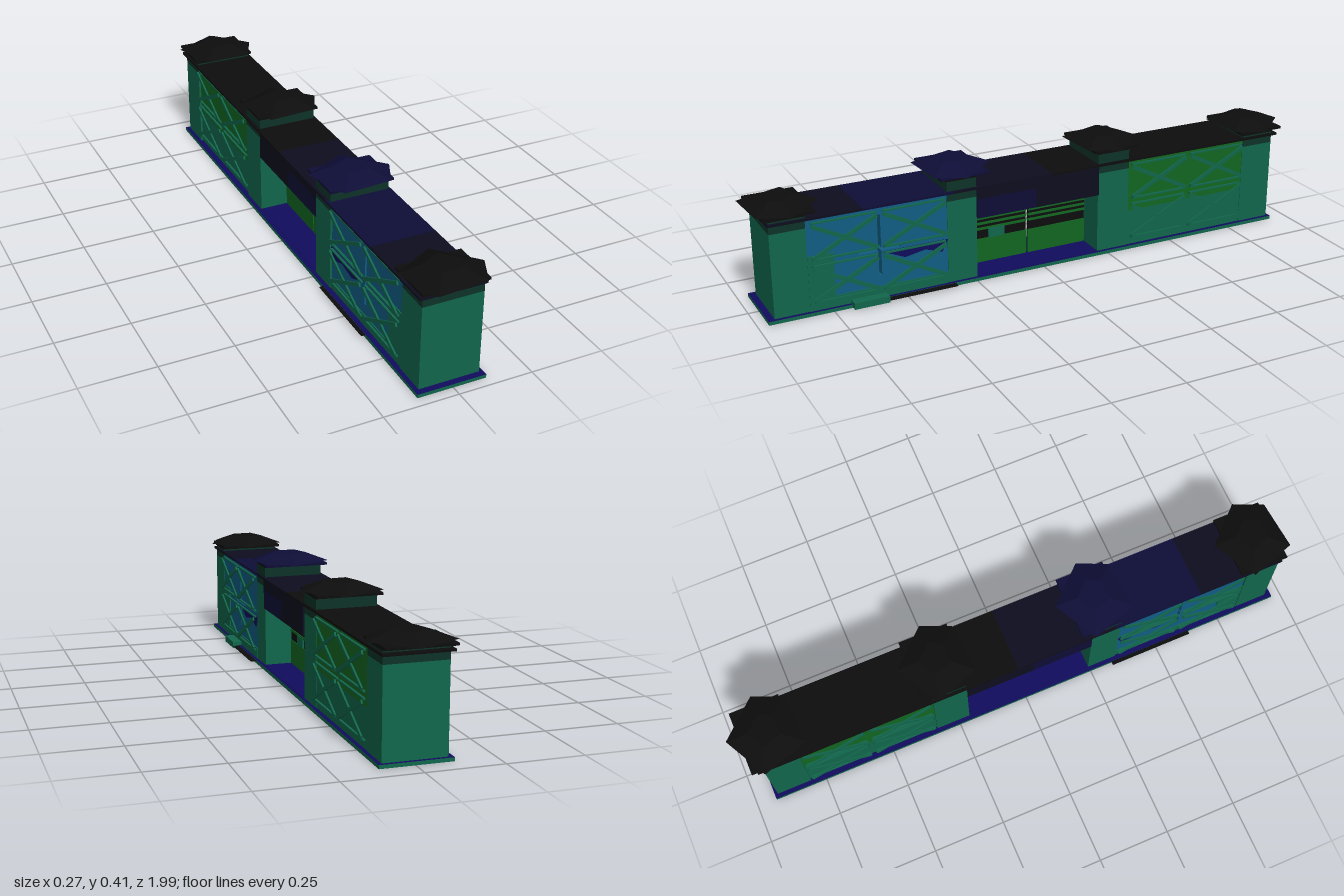
import * as THREE from 'three';

const mat = (name, color) => {
  const m = new THREE.MeshStandardMaterial({ color, side: THREE.DoubleSide, flatShading: true });
  m.name = name;
  return m;
};

export function createModel() {
  const teal = mat('teal wall', 0x11664b);
  const band = mat('dark green band', 0x0d3328);
  const green = mat('green panel', 0x126622);
  const blue = mat('blue glass', 0x105c82);
  const navy = mat('navy floor', 0x100c5c);
  const roofNavy = mat('navy roof', 0x0e0d36);
  const roofDark = mat('dark navy roof', 0x0d0d1f);
  const black = mat('black roof', 0x0d0d0d);

  const model = new THREE.Group();
  const add = (name, geo, material, parent = model) => {
    const mesh = new THREE.Mesh(geo, material);
    mesh.name = name;
    parent.add(mesh);
    return mesh;
  };
  // Box given by its lower and upper corners
  const box = (name, m, x0, x1, y0, y1, z0, z1, parent) => {
    const mesh = add(name, new THREE.BoxGeometry(x1 - x0, y1 - y0, z1 - z0), m, parent);
    mesh.position.set((x0 + x1) / 2, (y0 + y1) / 2, (z0 + z1) / 2);
    return mesh;
  };
  // Rectangle outline in the z-y plane
  const rect = (P, z0, z1, y0, y1) => {
    const p = new P();
    p.moveTo(-z0, y0).lineTo(-z1, y0).lineTo(-z1, y1).lineTo(-z0, y1).closePath();
    return p;
  };
  // Slab extruded across x, centred on x = 0
  const across = (name, shape, m, width) => {
    const geo = new THREE.ExtrudeGeometry(shape, { depth: width, bevelEnabled: false });
    geo.translate(0, 0, -width / 2).rotateY(Math.PI / 2);
    return add(name, geo, m);
  };

  // Plinth with a navy top and underside
  box('plinth', [teal, teal, navy, navy, teal, teal], -0.12, 0.112, 0, 0.012, -0.933, 0.965);
  for (const s of [-1, 1]) box('groundStrip', black, s * 0.122 - 0.011, s * 0.122 + 0.011, 0.008, 0.011, 0.33, 0.63);
  box('step', teal, 0.1, 0.135, 0.003, 0.025, 0.57, 0.69);

  // Capped towers: irregular five-sided eaves rising to a small flat top
  const corners = [[-0.132, -0.045], [-0.08, 0.113], [0.09, 0.1], [0.135, 0], [0.02, -0.125]];
  const capGeometry = () => {
    const pos = [], idx = [], n = corners.length;
    for (const [scale, y] of [[1, 0], [0.42, 0.029]])
      for (const [x, z] of corners) pos.push(x * scale, y, z * scale);
    for (let i = 0; i < n; i++) {
      const j = (i + 1) % n;
      idx.push(i, j, n + j, i, n + j, n + i);
    }
    for (let i = 1; i < n - 1; i++) idx.push(0, i + 1, i, n, n + i, n + i + 1);
    const g = new THREE.BufferGeometry();
    g.setAttribute('position', new THREE.Float32BufferAttribute(pos, 3));
    g.setIndex(idx);
    const flat = g.toNonIndexed();
    flat.computeVertexNormals();
    return flat;
  };
  const tower = (z0, z1, zc, eave, capMat) => {
    const g = new THREE.Group();
    g.name = 'tower';
    model.add(g);
    box('towerBody', teal, -0.105, 0.1, 0.012, 0.298, z0, z1, g);
    box('towerBand', band, -0.105, 0.1, 0.298, eave - 0.014, z0, z1, g);
    box('towerNeck', black, -0.106, 0.102, eave - 0.016, eave - 0.008, z0 - 0.002, z1 + 0.002, g);
    box('capSlab', capMat, -0.115, 0.107, eave - 0.009, eave - 0.001, zc - 0.085, zc + 0.085, g);
    add('cap', capGeometry(), capMat, g).position.set(0, eave, zc);
  };
  tower(0.826, 0.943, 0.877, 0.355, black);
  tower(0.245, 0.35, 0.287, 0.383, roofNavy);
  tower(-0.33, -0.21, -0.278, 0.383, black);
  tower(-0.922, -0.8, -0.873, 0.355, black);

  // Wall-top roof in coloured lengths
  for (const [z0, z1, m] of [[-0.94, -0.03, black], [-0.03, 0.33, roofDark], [0.33, 0.64, roofNavy], [0.64, 0.947, roofDark]])
    box('roof', m, -0.115, 0.108, 0.325, 0.333, z0, z1);

  // Front hall: glazed, with a cross-shaped opening right through
  const hall = rect(THREE.Shape, 0.35, 0.826, 0.012, 0.325);
  const cross = new THREE.Path();
  const [cz, cy, t] = [-0.585, 0.178, 0.005];
  const arm = [[-t, -0.09], [t, -0.09], [t, -t], [0.07, -t], [0.07, t], [t, t], [t, 0.12], [-t, 0.12],
    [-t, t], [-0.07, t], [-0.07, -t], [-t, -t]];
  cross.setFromPoints(arm.map(([z, y]) => new THREE.Vector2(cz + z, cy + y)));
  cross.closePath();
  hall.holes.push(cross);
  across('frontHall', hall, blue, 0.196);
  for (const s of [-1, 1]) {
    const x0 = s * 0.1 - 0.002, x1 = s * 0.1 + 0.002;
    box('hallCorner', teal, x0, x1, 0.012, 0.2, 0.74, 0.826);
    box('hallSill', teal, x0, x1, 0.012, 0.05, 0.35, 0.74);
    const shard = new THREE.Shape([[-0.575, 0.168], [-0.5, 0.135], [-0.43, 0.148], [-0.37, 0.128], [-0.35, 0.168]]
      .map(p => new THREE.Vector2(...p)));
    const plate = across('hallShard', shard, navy, 0.004);
    plate.position.x = s * 0.1;
  }

  // Back hall: green above, teal below
  box('backHallLower', teal, -0.098, 0.098, 0.012, 0.14, -0.8, -0.33);
  box('backHallUpper', green, -0.098, 0.098, 0.14, 0.325, -0.8, -0.33);

  // Crossed lattice, four cells per hall side
  const cellW = 0.215, cellH = 0.11, len = Math.hypot(cellW, cellH), tilt = Math.atan2(cellH, cellW);
  for (const s of [-1, 1])
    for (const zc of [0.585, -0.566])
      for (const dz of [-0.118, 0.118])
        for (const y of [0.104, 0.25])
          for (const k of [-1, 1]) {
            const bar = add('latticeBar', new THREE.BoxGeometry(0.006, 0.013, len), teal);
            bar.position.set(s * 0.113, y, zc + dz);
            bar.rotation.x = k * tilt;
            const rail = add('latticeRail', new THREE.BoxGeometry(0.008, 0.005, cellW), teal);
            rail.position.set(s * 0.105, y + k * 0.062, zc + dz);
          }

  // Middle bay: overhanging roof box over a thin slatted fence with a slit
  box('bayRoofFront', roofNavy, -0.106, 0.106, 0.222, 0.29, 0.03, 0.245);
  box('bayRoofBack', roofDark, -0.106, 0.106, 0.222, 0.29, -0.21, 0.03);
  box('bayRoofTop', roofDark, -0.106, 0.106, 0.29, 0.325, -0.21, 0.245);
  box('bayFloor', navy, -0.105, 0.105, 0.012, 0.014, -0.21, 0.245);
  for (const [z0, z1] of [[-0.21, 0.009], [0.017, 0.245]]) {
    box('fenceBase', green, -0.006, 0.006, 0.012, 0.1, z0, z1);
    box('fenceBack', black, -0.003, 0.003, 0.1, 0.222, z0, z1);
    for (let i = 0; i < 5; i++)
      box('fenceSlat', green, -0.007, 0.007, 0.132 + i * 0.019, 0.14 + i * 0.019, z0, z1);
  }
  box('fencePatch', teal, -0.009, 0.009, 0.1, 0.135, 0.1, 0.16);

  return model;
}
